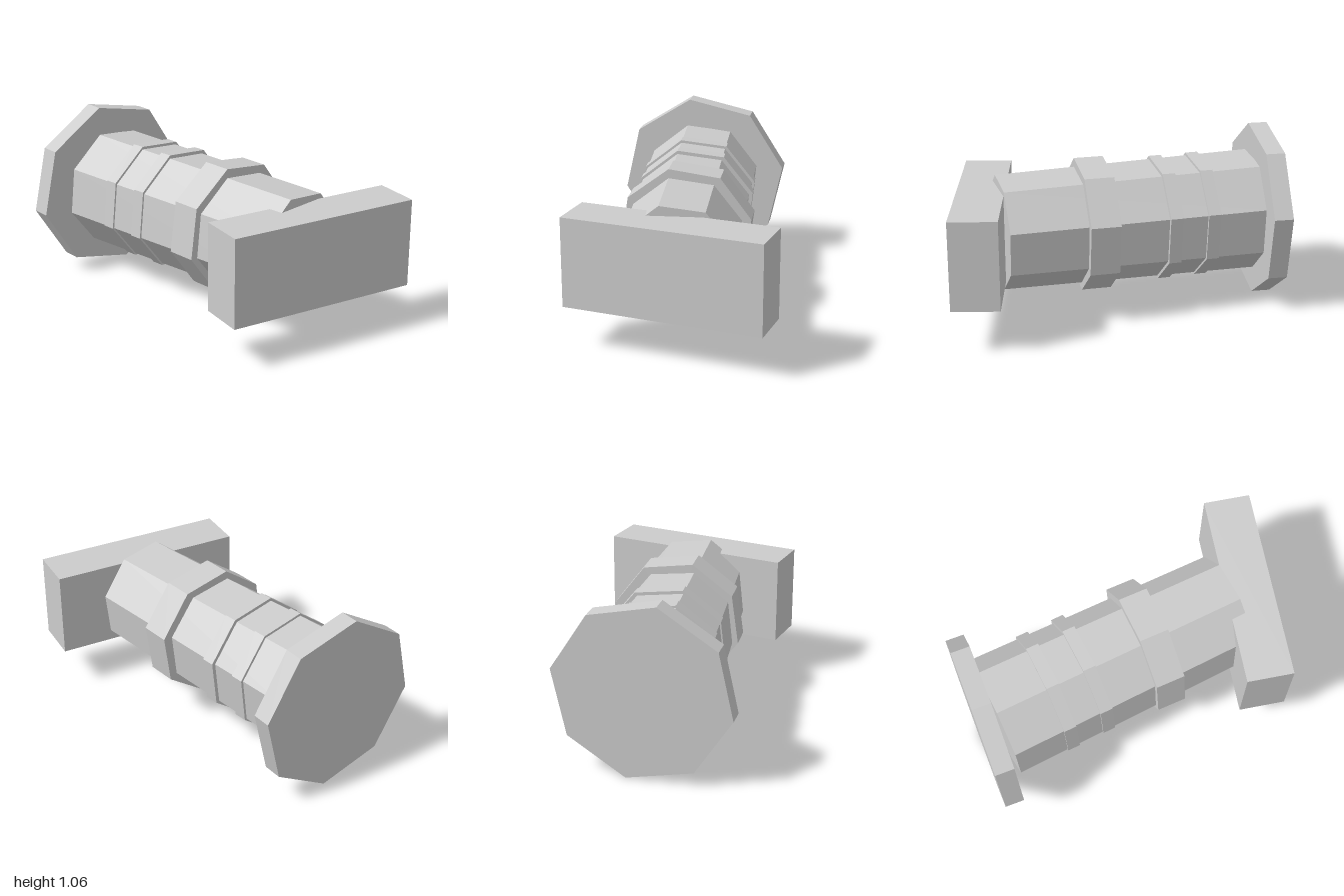
import * as THREE from 'three';

const deg = THREE.MathUtils.degToRad;

export function createModel() {
  const group = new THREE.Group();
  const grey = new THREE.MeshStandardMaterial({ color: 0xcccccc });
  grey.name = 'plain grey';

  function add(name, geometry, x, y, z) {
    // one normal per face for a faceted look
    const flat = geometry.toNonIndexed();
    flat.computeVertexNormals();
    const mesh = new THREE.Mesh(flat, grey);
    mesh.name = name;
    mesh.position.set(x, y, z);
    group.add(mesh);
  }

  // eight-sided drum lying along z, rolled on its axis, then swung sideways
  function drum(name, rFront, rBack, length, roll, yaw, x, y, z) {
    const g = new THREE.CylinderGeometry(rFront, rBack, length, 8);
    g.rotateX(Math.PI / 2);
    g.rotateZ(deg(roll));
    g.rotateY(deg(yaw));
    add(name, g, x, y, z);
  }

  // hammer-like block at the front
  add('frontBlock', new THREE.BoxGeometry(1.19, 0.535, 0.285), 0.185, 0.5325, 0.8575);

  // slightly tapered handle
  drum('shaft', 0.345, 0.373, 1.6, 16, 15.5, -0.032, 0.527, -0.0155);

  // raised bands around the handle
  drum('wideBand', 0.403, 0.403, 0.18, 14.5, 13, 0.036, 0.532, 0.201);
  drum('middleBand', 0.38, 0.38, 0.078, 16, 15, -0.08, 0.53, -0.2125);
  drum('backBand', 0.38, 0.38, 0.078, 16, 15, -0.1475, 0.53, -0.4425);

  // broad plate at the back end
  drum('backPlate', 0.537, 0.537, 0.117, 10, 10, -0.254, 0.529, -0.85);

  return group;
}
